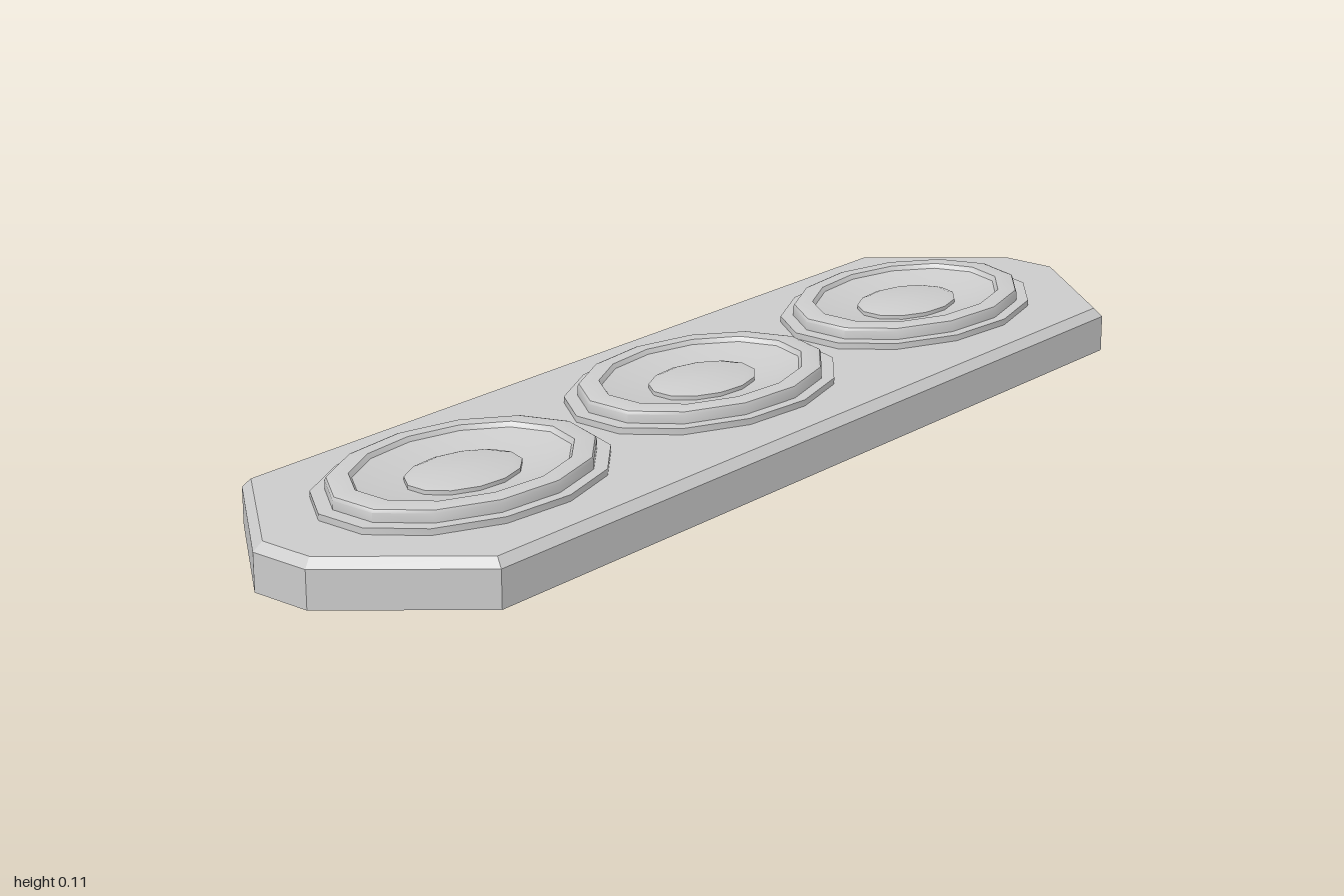
import * as THREE from 'three';
import { toCreasedNormals } from 'three/addons/utils/BufferGeometryUtils.js';

const SIDES = 13;
const SQUASH = 0.7; // depth of each oval relative to its width

// Elongated octagon in the xz plane at height y, counter-clockwise seen from above
function octagon(x, z, cornerX, cornerZ, y) {
  return [
    [x, -cornerZ], [cornerX, -z], [-cornerX, -z], [-x, -cornerZ],
    [-x, cornerZ], [-cornerX, z], [cornerX, z], [x, cornerZ],
  ].map(([px, pz]) => [px, y, pz]);
}

// Closed solid through a stack of matching loops, bottom to top
function loft(loops) {
  const pos = [];
  const tri = (a, b, c) => pos.push(...a, ...b, ...c);
  const n = loops[0].length;
  for (let l = 0; l < loops.length - 1; l++) {
    for (let i = 0; i < n; i++) {
      const j = (i + 1) % n, lo = loops[l], hi = loops[l + 1];
      tri(lo[i], lo[j], hi[j]);
      tri(lo[i], hi[j], hi[i]);
    }
  }
  const bottom = loops[0], top = loops[loops.length - 1];
  for (let i = 1; i < n - 1; i++) {
    tri(bottom[0], bottom[i + 1], bottom[i]);
    tri(top[0], top[i], top[i + 1]);
  }
  const geo = new THREE.BufferGeometry();
  geo.setAttribute('position', new THREE.Float32BufferAttribute(pos, 3));
  geo.computeVertexNormals();
  return geo;
}

// Oval turned part with one vertex pointing to +x
function ovalLathe(profile) {
  const points = profile.map(([r, y]) => new THREE.Vector2(r, y));
  const geo = new THREE.LatheGeometry(points, SIDES, Math.PI / 2);
  geo.scale(1, 1, SQUASH);
  return toCreasedNormals(geo, 0.7);
}

export function createModel() {
  const model = new THREE.Group();
  const material = new THREE.MeshStandardMaterial({ color: 0xcccccc });
  const add = (parent, name, geo) => {
    const mesh = new THREE.Mesh(geo, material);
    mesh.name = name;
    parent.add(mesh);
  };

  // Base plate with a chamfered upper edge
  add(model, 'basePlate', loft([
    octagon(1, 0.278, 0.815, 0.056, 0),
    octagon(1, 0.278, 0.815, 0.056, 0.065),
    octagon(0.985, 0.264, 0.808, 0.05, 0.08),
  ]));

  // Three oval lamps: mounting flange, rounded rim, shallow dish, centre button
  const flange = ovalLathe([[0.28, 0.079], [0.28, 0.091], [0.245, 0.091]]);
  const rim = ovalLathe([
    [0.253, 0.09], [0.253, 0.106], [0.25, 0.111], [0.243, 0.113],
    [0.21, 0.113], [0.204, 0.105],
  ]);
  const dish = ovalLathe([[0.204, 0.105], [0.16, 0.096], [0.11, 0.09]]);
  const button = ovalLathe([[0.11, 0.09], [0.11, 0.097], [0.095, 0.101], [0, 0.101]]);

  ['rightLamp', 'middleLamp', 'leftLamp'].forEach((name, i) => {
    const lamp = new THREE.Group();
    lamp.name = name;
    lamp.position.x = -0.008 + (i - 1) * 0.592;
    add(lamp, 'flange', flange);
    add(lamp, 'rim', rim);
    add(lamp, 'dish', dish);
    add(lamp, 'button', button);
    model.add(lamp);
  });

  return model;
}
